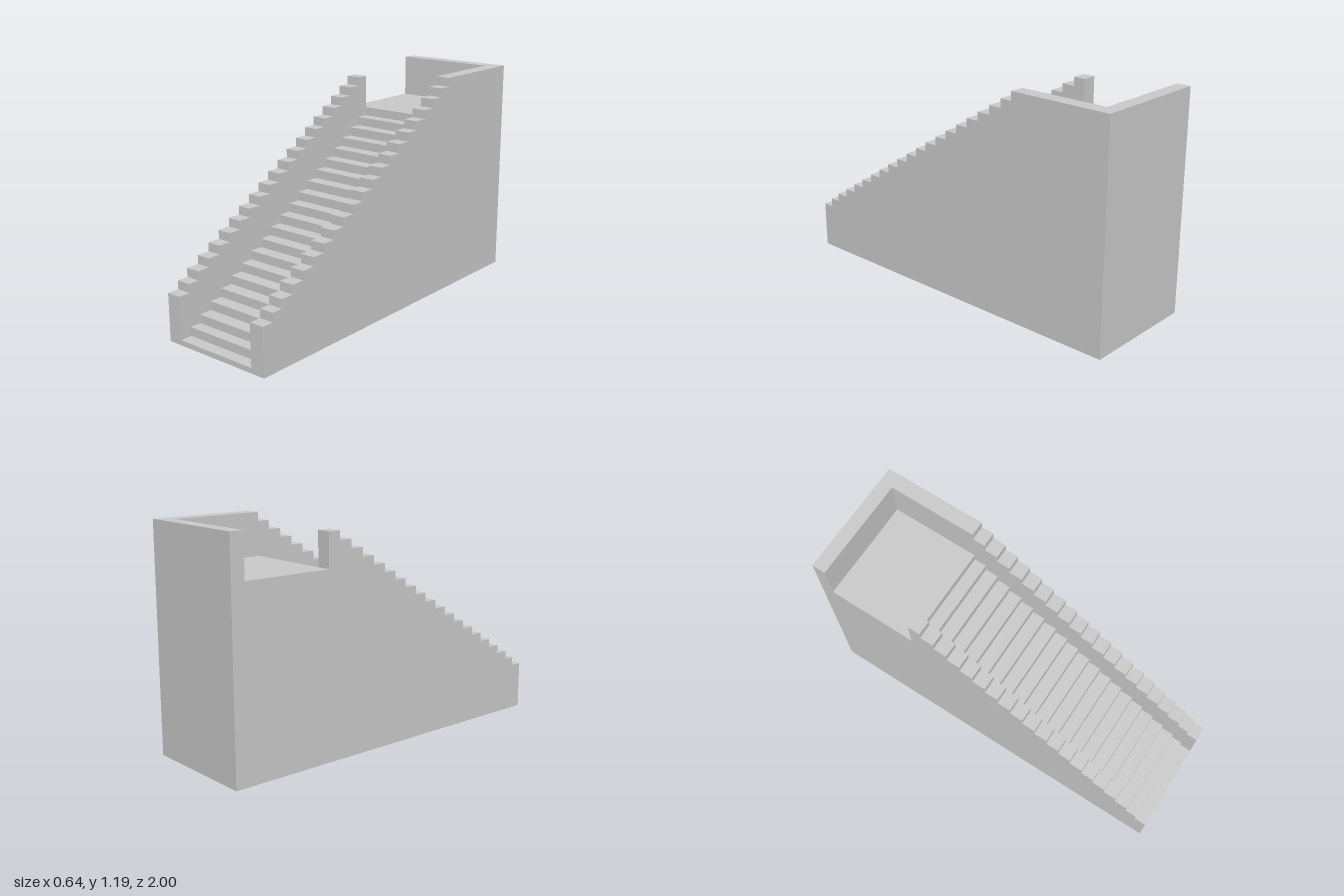
import * as THREE from 'three';

const HALF_WIDTH = 0.32, INNER = 0.24;      // outer side and inner wall face
const BACK_WALL_Z = -0.926, STEPS = 20;
const RISE = 0.0468, FIRST_TREAD = 0.028, FIRST_WALL = 0.254;
const LANDING = FIRST_TREAD + STEPS * RISE, TOP = FIRST_WALL + STEPS * RISE;

// z of riser i: regular treads, with slightly shorter first and last ones
function riserZ(i) {
  if (i === 0) return 0.935;
  if (i === STEPS - 1) return -0.44;
  return 0.873 - (i - 1) * 0.0733;
}

// Stepped side outline in (z, y), climbing from the front
function steppedOutline(firstHeight) {
  const pts = [[-1, 0], [1, 0], [1, firstHeight]];
  for (let i = 0; i < STEPS; i++) {
    const z = riserZ(i), y = firstHeight + i * RISE;
    pts.push([z, y], [z, y + RISE]);
  }
  return pts;
}

// Extrude a (z, y) outline between two x positions
function slab(name, pts, x0, x1, material) {
  const shape = new THREE.Shape(pts.map(([z, y]) => new THREE.Vector2(z, y)));
  const geo = new THREE.ExtrudeGeometry(shape, { depth: x1 - x0, bevelEnabled: false });
  geo.rotateY(-Math.PI / 2).translate(x1, 0, 0);
  const mesh = new THREE.Mesh(geo, material);
  mesh.name = name;
  return mesh;
}

export function createModel() {
  const group = new THREE.Group();
  group.name = 'staircase';
  const material = new THREE.MeshStandardMaterial({ color: 0xcccccc, flatShading: true });

  // Landing floor ending in the raised back wall
  const landingEnd = [[BACK_WALL_Z, LANDING], [BACK_WALL_Z, TOP], [-1, TOP]];

  // Flight of steps with landing
  const flight = [...steppedOutline(FIRST_TREAD), ...landingEnd];
  group.add(slab('stepsAndLanding', flight, -INNER, INNER, material));

  // Left parapet runs unbroken to the back
  const left = [...steppedOutline(FIRST_WALL), [-1, TOP]];
  group.add(slab('leftParapet', left, INNER, HALF_WIDTH, material));

  // Right parapet stops at the landing, leaving a side exit
  const right = steppedOutline(FIRST_WALL).slice(0, -1);
  right.push([riserZ(STEPS - 1), LANDING], ...landingEnd);
  group.add(slab('rightParapet', right, -HALF_WIDTH, -INNER, material));

  return group;
}
